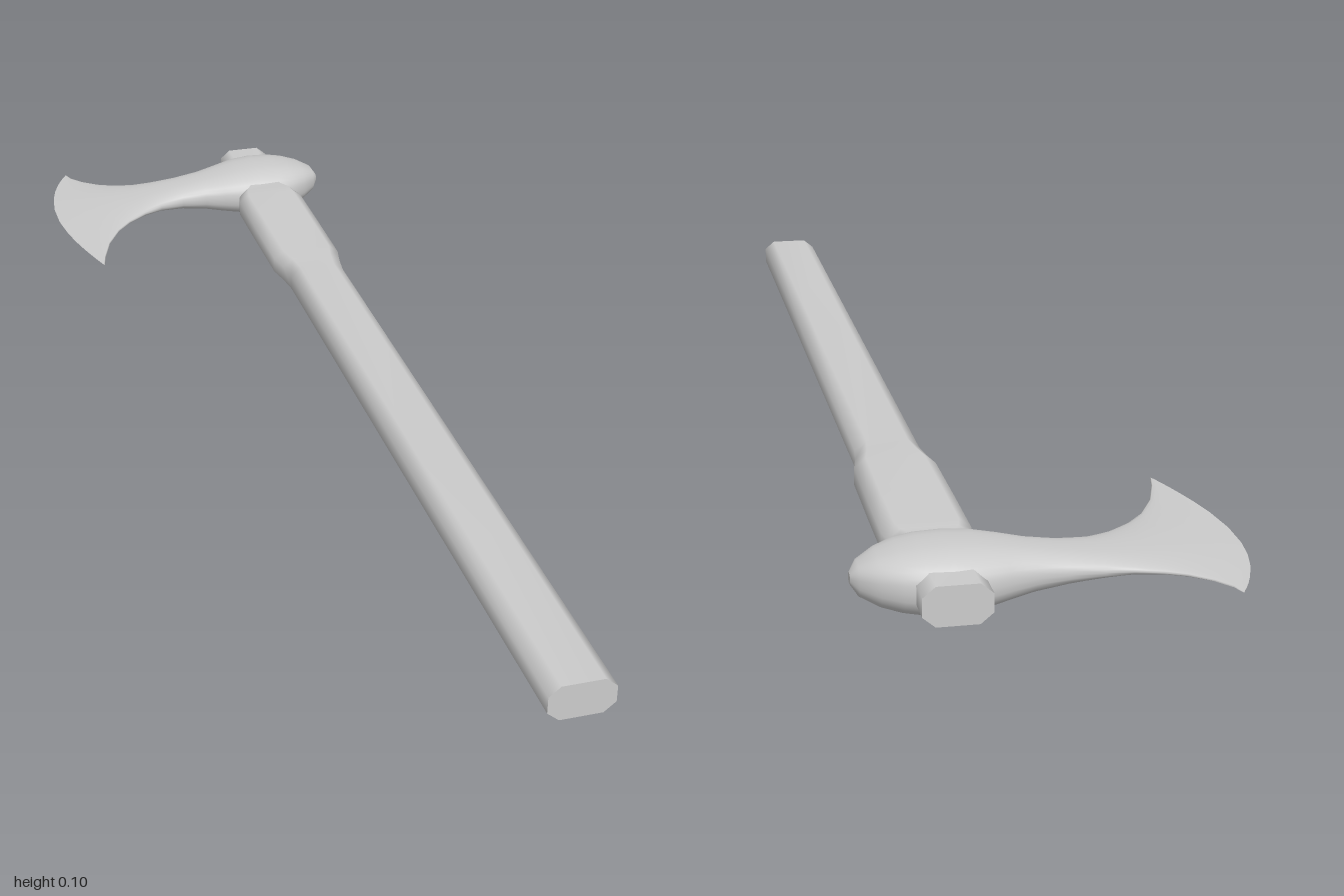
import * as THREE from 'three';

const material = new THREE.MeshStandardMaterial({ color: 0xcccccc });

// Skin a list of closed rings (arrays of Vector3) and close both ends with flat caps
function loft(rings) {
  const n = rings[0].length;
  const pos = [], index = [];
  const add = (p) => pos.push(p.x, p.y, p.z) / 3 - 1;
  rings.forEach((ring) => ring.forEach(add));
  for (let i = 0; i < rings.length - 1; i++) {
    for (let j = 0; j < n; j++) {
      const a = i * n + j, b = i * n + (j + 1) % n;
      index.push(a, a + n, b, b, a + n, b + n);
    }
  }
  const cap = (ring, flip) => {
    const ids = ring.map(add);
    for (let j = 1; j < n - 1; j++) {
      if (flip) index.push(ids[0], ids[j + 1], ids[j]);
      else index.push(ids[0], ids[j], ids[j + 1]);
    }
  };
  cap(rings[0], false);
  cap(rings[rings.length - 1], true);
  const geometry = new THREE.BufferGeometry();
  geometry.setAttribute('position', new THREE.Float32BufferAttribute(pos, 3));
  geometry.setIndex(index);
  geometry.computeVertexNormals();
  return geometry;
}

// Haft: chamfered rectangle swept along z, swelling below the head
function haftGeometry() {
  const cx = 0.156, cy = 0.05, hy = 0.03;
  // z, half width
  const stations = [
    [1, 0.053], [0.3, 0.053], [-0.37, 0.053], [-0.41, 0.058], [-0.45, 0.066],
    [-0.6, 0.067], [-0.73, 0.067], [-0.755, 0.062], [-0.775, 0.05], [-0.97, 0.05],
  ];
  return loft(stations.map(([z, hx]) => {
    const bx = hx - 0.019, by = hy - 0.016;
    return [
      [hx, -by], [hx, by], [bx, hy], [-bx, hy],
      [-hx, by], [-hx, -by], [-bx, -hy], [bx, -hy],
    ].map(([x, y]) => new THREE.Vector3(cx + x, cy + y, z));
  }));
}

// Head: rounded sections from the pointed poll to the bowed cutting edge
function headGeometry() {
  const cy = 0.05, sides = 32;
  // x, back z, front z, half thickness, bow of the section towards the edge
  const stations = [
    [0.288, -0.86, -0.84, 0.008, 0],
    [0.277, -0.88, -0.82, 0.024, 0],
    [0.25, -0.905, -0.795, 0.037, 0],
    [0.22, -0.922, -0.776, 0.045, 0],
    [0.19, -0.932, -0.768, 0.049, 0],
    [0.15, -0.935, -0.765, 0.05, 0],
    [0.11, -0.93, -0.767, 0.047, 0],
    [0.07, -0.915, -0.777, 0.04, 0],
    [0.03, -0.903, -0.788, 0.032, 0],
    [-0.02, -0.898, -0.79, 0.024, 0],
    [-0.07, -0.899, -0.779, 0.017, 0.004],
    [-0.11, -0.903, -0.757, 0.012, 0.012],
    [-0.15, -0.915, -0.725, 0.009, 0.022],
    [-0.18, -0.93, -0.69, 0.007, 0.032],
    [-0.21, -0.955, -0.635, 0.005, 0.042],
    [-0.23, -0.98, -0.575, 0.003, 0.05],
    [-0.238, -1, -0.54, 0.002, 0.053],
  ];
  const soft = (v) => Math.sign(v) * Math.abs(v) ** 0.8;
  return loft(stations.map(([x, z0, z1, h, bow]) => {
    const ring = [];
    for (let j = 0; j < sides; j++) {
      const a = (j / sides) * Math.PI * 2;
      const t = soft(Math.cos(a));
      ring.push(new THREE.Vector3(
        x - bow * (1 - t * t) * (1 + 0.3 * t),
        cy + h * soft(Math.sin(a)),
        (z0 + z1) / 2 - t * (z1 - z0) / 2,
      ));
    }
    return ring;
  }));
}

export function createModel() {
  const group = new THREE.Group();
  group.name = 'axe';
  const addPart = (name, geometry) => {
    const mesh = new THREE.Mesh(geometry, material);
    mesh.name = name;
    group.add(mesh);
  };
  addPart('haft', haftGeometry());
  addPart('axeHead', headGeometry());
  return group;
}
